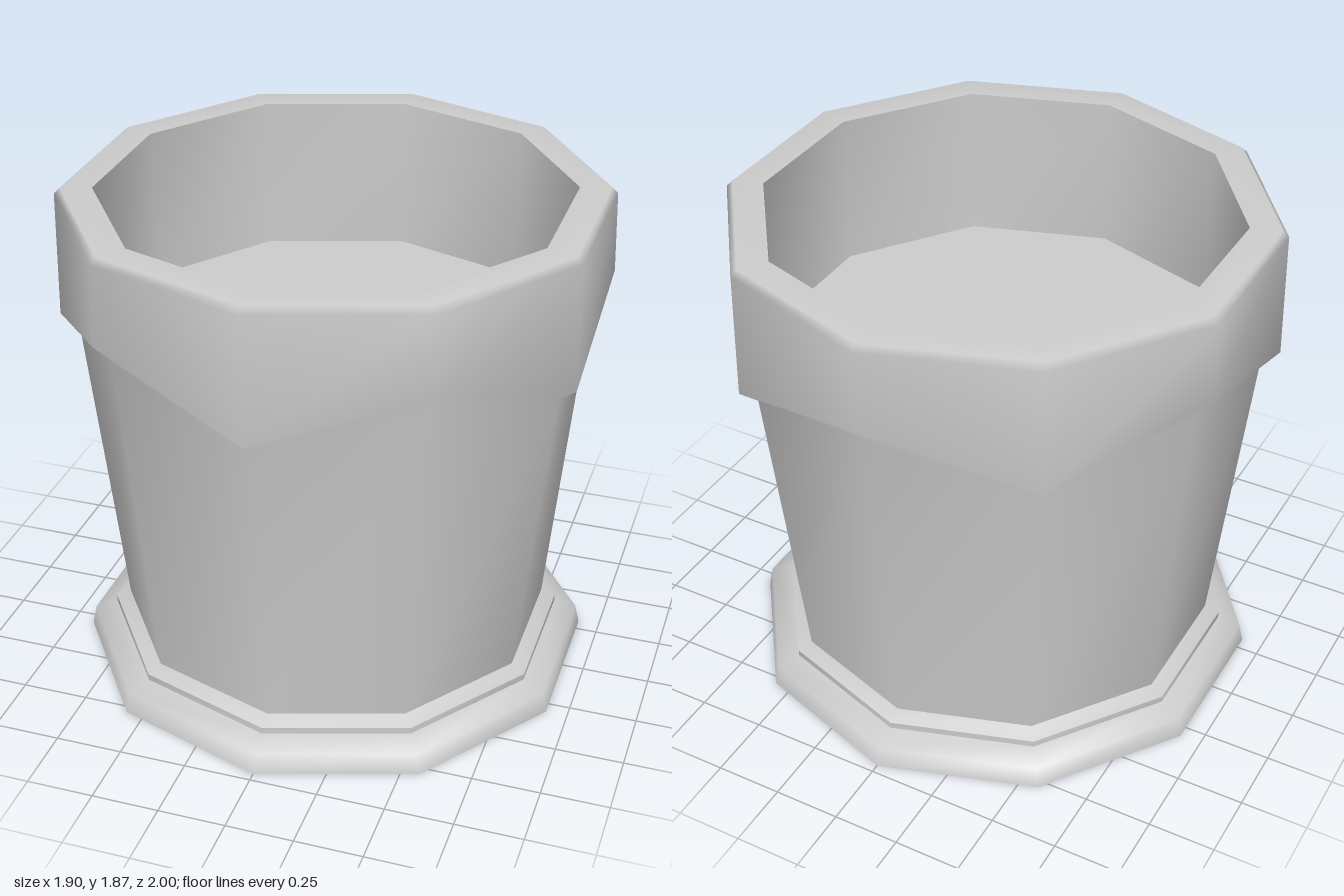
import * as THREE from 'three';

const SIDES = 10;

// Smooth ten-sided band. Profile points are [radius, y, y at odd corners],
// running up the outside and down the inside.
function band(profile) {
  const position = [], index = [];
  profile.forEach(([r, y, yOdd = y], j) => {
    for (let k = 0; k < SIDES; k++) {
      const a = (k / SIDES) * Math.PI * 2;
      position.push(r * Math.sin(a), k % 2 ? yOdd : y, r * Math.cos(a));
      if (j === 0) continue;
      const n = (k + 1) % SIDES;
      const lo = (j - 1) * SIDES, hi = j * SIDES;
      index.push(lo + k, lo + n, hi + n, lo + k, hi + n, hi + k);
    }
  });
  const g = new THREE.BufferGeometry();
  g.setAttribute('position', new THREE.Float32BufferAttribute(position, 3));
  g.setIndex(index);
  g.computeVertexNormals();
  return g;
}

// Flat ten-sided disc facing up or down
function disc(radius, y, up) {
  return new THREE.CircleGeometry(radius, SIDES, Math.PI / 2)
    .rotateX(up ? -Math.PI / 2 : Math.PI / 2)
    .translate(0, y, 0);
}

export function createModel() {
  const group = new THREE.Group();
  const clay = new THREE.MeshStandardMaterial({ color: 0xcccccc });
  clay.name = 'pale grey clay';

  const add = (name, geometry) => {
    const mesh = new THREE.Mesh(geometry, clay);
    mesh.name = name;
    group.add(mesh);
  };

  // Saucer with its stepped foot ring
  add('saucerUnderside', disc(0.967, 0, false));
  add('saucer', band([[0.967, 0], [0.95, 0.077], [0.865, 0.105]]));
  add('footRingSide', band([[0.865, 0.105], [0.865, 0.13]]));
  add('footRingTop', band([[0.865, 0.13], [0.81, 0.155]]));

  // Tapered wall flowing into the zigzag-edged rim
  add('wallAndRim', band([
    [0.81, 0.155],
    [0.934, 1.33, 1.48],
    [1.0, 1.38, 1.55],
    [0.99, 1.85],
    [0.968, 1.872],
    [0.855, 1.872],
  ]));

  // Inside of the pot
  add('innerWall', band([[0.855, 1.872], [0.855, 1.29]]));
  add('soil', disc(0.855, 1.29, true));

  return group;
}
